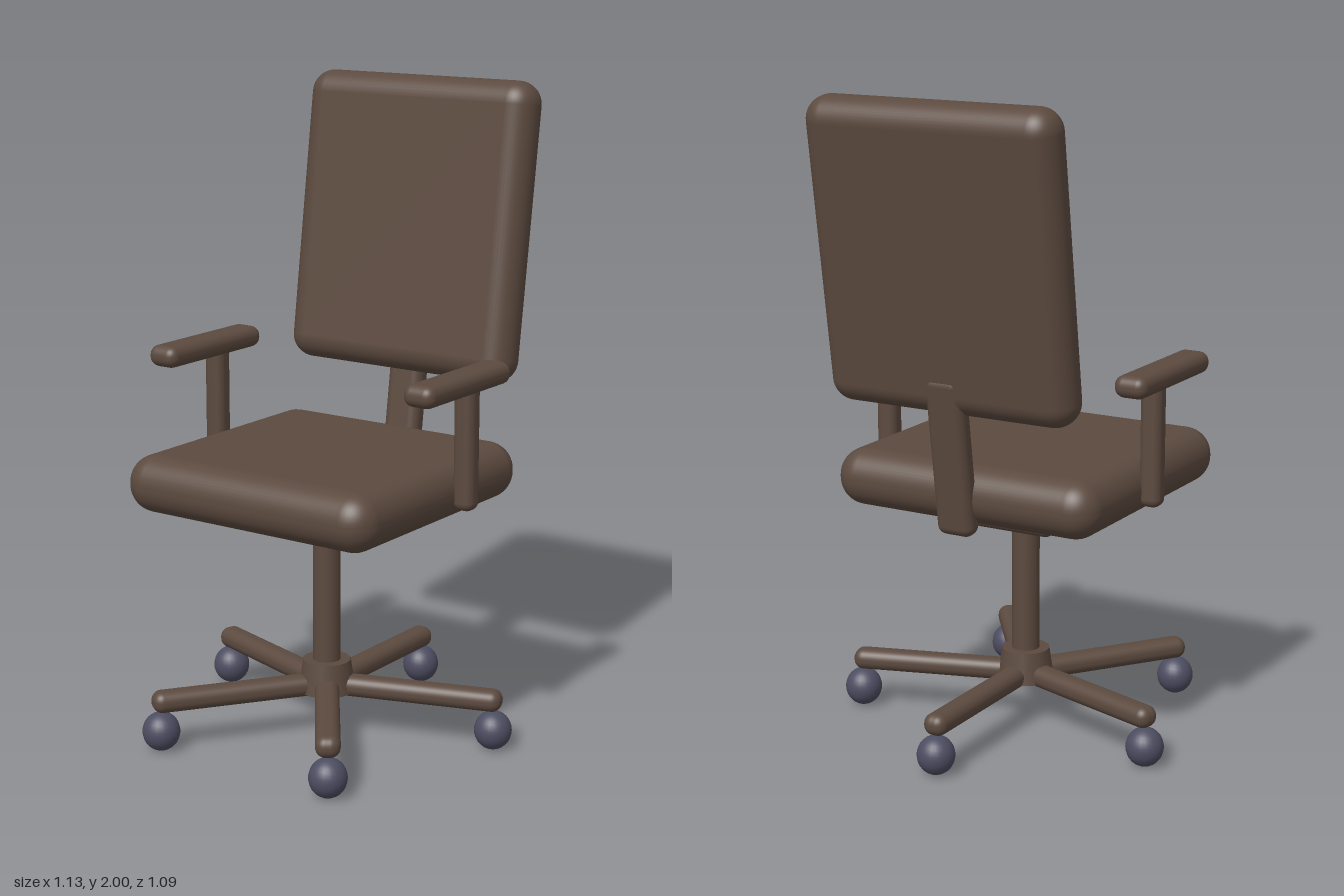
import * as THREE from 'three';
import { RoundedBoxGeometry } from 'three/addons/geometries/RoundedBoxGeometry.js';

export function createModel() {
  const chair = new THREE.Group();
  chair.name = 'officeChair';

  const brown = new THREE.MeshStandardMaterial({ color: 0x5c4a3f });
  brown.name = 'brown upholstery';
  const slate = new THREE.MeshStandardMaterial({ color: 0x4d4d62 });
  slate.name = 'slate caster';

  const add = (name, geometry, material, x, y, z, parent = chair) => {
    const mesh = new THREE.Mesh(geometry, material);
    mesh.name = name;
    mesh.position.set(x, y, z);
    parent.add(mesh);
    return mesh;
  };
  const pad = (w, h, d, r, segments = 4) => new RoundedBoxGeometry(w, h, d, segments, r);

  const axisZ = 0.057; // the column stands slightly forward of the middle
  const tilt = -0.14; // recline of the back

  // Seat and its mounting plate
  add('seat', pad(0.89, 0.177, 0.87, 0.085, 6), brown, 0, 0.827, 0.073);
  add('seatPlate', pad(0.378, 0.085, 0.378, 0.028), brown, 0, 0.708, axisZ);

  // Reclined backrest and its support
  add('backrest', pad(0.82, 0.923, 0.15, 0.072, 6), brown, 0, 1.543, -0.412).rotation.x = tilt;
  add('backSupport', pad(0.122, 0.5, 0.07, 0.03), brown, 0, 0.96, -0.374).rotation.x = tilt;

  // Armrests, mirrored
  for (const [side, s] of [['left', 1], ['right', -1]]) {
    add(side + 'ArmPost', pad(0.068, 0.39, 0.066, 0.026), brown, s * 0.465, 0.975, 0);
    add(side + 'ArmPad', pad(0.105, 0.067, 0.452, 0.031), brown, s * 0.467, 1.173, 0.054);
  }

  // Column and hub
  add('column', new THREE.CylinderGeometry(0.043, 0.043, 0.53, 24), brown, 0, 0.425, axisZ);
  add('hub', new THREE.CylinderGeometry(0.075, 0.09, 0.1, 16), brown, 0, 0.187, axisZ);

  // Five-legged star base with ball casters, one leg straight back
  const legGeometry = pad(0.075, 0.067, 0.56, 0.031);
  const casterGeometry = new THREE.SphereGeometry(0.058, 24, 16);
  casterGeometry.scale(1, 1.04, 1);
  for (let i = 0; i < 5; i++) {
    const arm = new THREE.Group();
    arm.name = 'baseArm' + (i + 1);
    arm.position.z = axisZ;
    arm.rotation.y = (i * Math.PI * 2) / 5;
    add('leg', legGeometry, brown, 0, 0.158, -0.28, arm);
    add('caster', casterGeometry, slate, 0, 0.063, -0.533, arm);
    chair.add(arm);
  }

  return chair;
}
